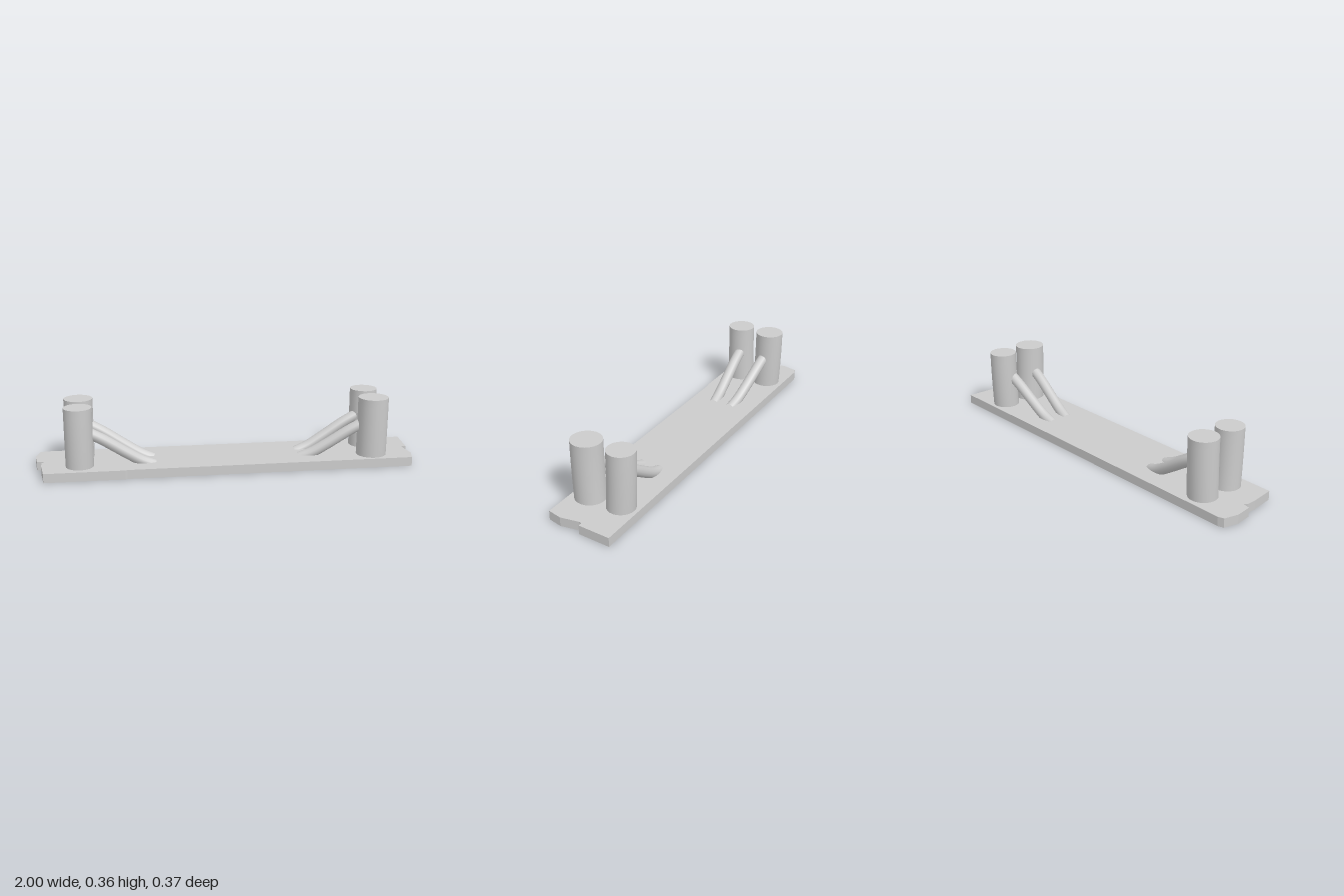
import * as THREE from 'three';
import { toCreasedNormals } from 'three/addons/utils/BufferGeometryUtils.js';

const material = new THREE.MeshStandardMaterial({ color: 0xcccccc });
const V = (x, y, z) => new THREE.Vector3(x, y, z);
const SLAB = 0.048, TOP = 0.36;

function addMesh(parent, name, geometry) {
  const mesh = new THREE.Mesh(geometry, material);
  mesh.name = name;
  parent.add(mesh);
}

// Flat board with notched, slightly irregular ends; outline points are [x, z]
function baseGeometry() {
  const outline = [
    [-0.95, -0.185], [-0.98, -0.175], [-1, -0.1], [-0.99, -0.015], [-0.95, -0.008],
    [-0.965, 0.01], [-0.965, 0.06], [-0.95, 0.182], [-0.54, 0.182], [-0.53, 0.177],
    [0.965, 0.175], [0.982, 0.1], [0.965, 0], [0.97, -0.012], [0.99, -0.012], [1, -0.185],
  ];
  const shape = new THREE.Shape(outline.map(([x, z]) => new THREE.Vector2(x, -z)));
  return new THREE.ExtrudeGeometry(shape, { depth: SLAB, bevelEnabled: false }).rotateX(-Math.PI / 2);
}

// Upright post whose foot is shifted slightly, so its sides bow
function postGeometry(radius, footShift) {
  const geometry = new THREE.CylinderGeometry(radius, radius, TOP - 0.02, 24, 8);
  geometry.translate(0, (TOP + 0.02) / 2, 0);
  const p = geometry.attributes.position;
  for (let i = 0; i < p.count; i++) {
    const t = 1 - p.getY(i) / TOP;
    p.setZ(i, p.getZ(i) + footShift * t * t);
  }
  return toCreasedNormals(geometry, Math.PI / 5);
}

// Round brace curving from the post down into the board
function braceGeometry(side, zPost, zFoot) {
  const z = t => THREE.MathUtils.lerp(zPost, zFoot, t);
  const path = new THREE.CatmullRomCurve3([
    V(side * 0.74, 0.23, z(0)), V(side * 0.65, 0.182, z(0.18)),
    V(side * 0.53, 0.105, z(0.5)), V(side * 0.45, 0.057, z(0.75)),
    V(side * 0.385, 0.03, z(1)),
  ]);
  return new THREE.TubeGeometry(path, 24, 0.029, 14, false);
}

export function createModel() {
  const model = new THREE.Group();
  model.name = 'boardWithPosts';
  addMesh(model, 'base', baseGeometry());

  const supports = [
    { name: 'leftBack', x: 0.765, z: -0.103, r: 0.072, shift: 0.012, brace: [-0.077, -0.06] },
    { name: 'leftFront', x: 0.767, z: 0.088, r: 0.079, shift: -0.01, brace: [0.08, 0.04] },
    { name: 'rightBack', x: -0.767, z: -0.095, r: 0.075, shift: 0.012, brace: [-0.09, -0.052] },
    { name: 'rightFront', x: -0.768, z: 0.085, r: 0.072, shift: -0.008, brace: [0.068, 0.053] },
  ];
  for (const s of supports) {
    const group = new THREE.Group();
    group.name = s.name + 'Support';
    addMesh(group, s.name + 'Post', postGeometry(s.r, s.shift).translate(s.x, 0, s.z));
    addMesh(group, s.name + 'Brace', braceGeometry(Math.sign(s.x), ...s.brace));
    model.add(group);
  }
  return model;
}
